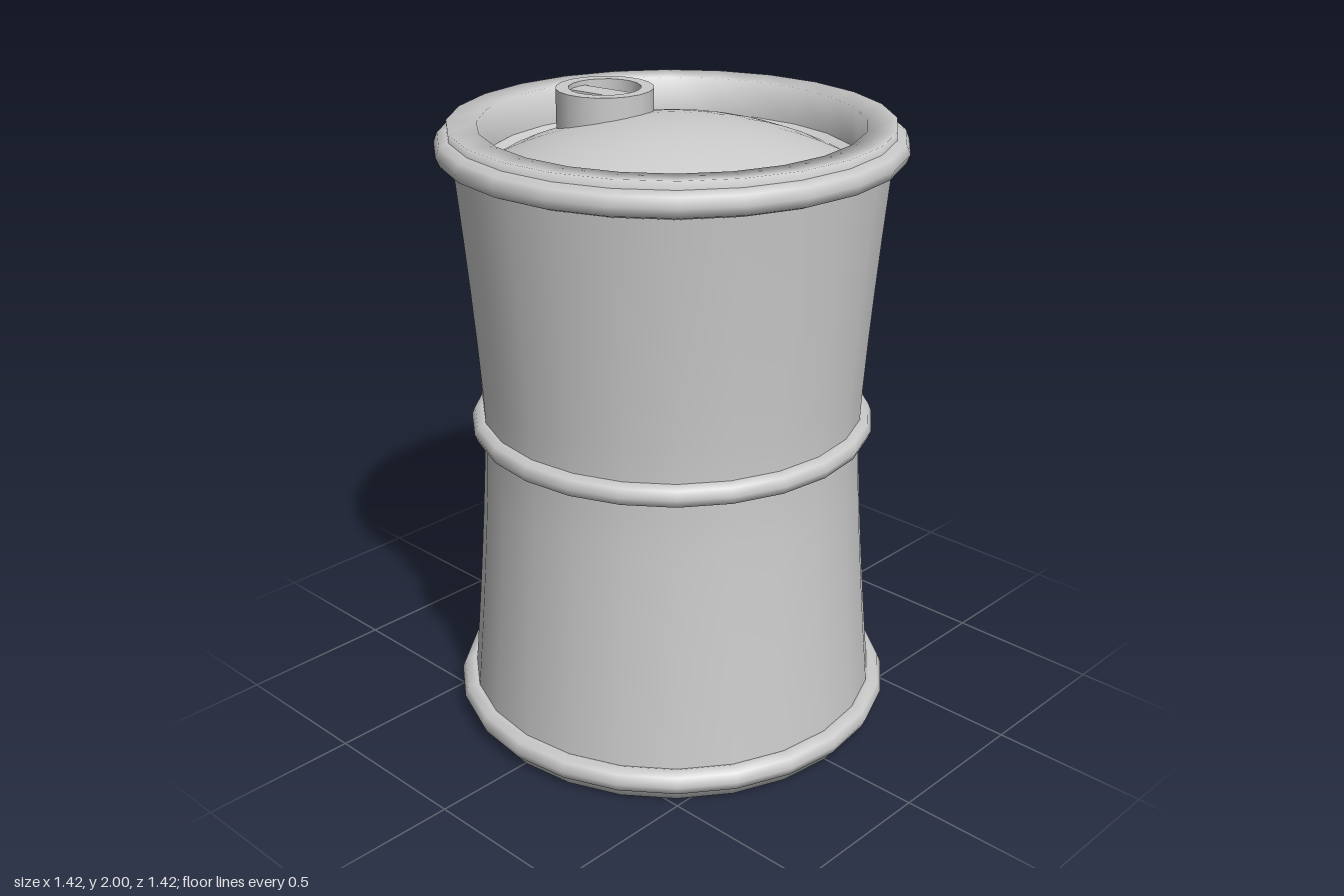
import * as THREE from 'three';

const SIDES = 24;
const material = new THREE.MeshStandardMaterial({ color: 0xcccccc });

function add(group, name, geometry, x = 0, y = 0, z = 0) {
  const mesh = new THREE.Mesh(geometry, material);
  mesh.name = name;
  mesh.position.set(x, y, z);
  group.add(mesh);
  return mesh;
}

// Profiles run up the outside and back down the inside
function lathe(points, sides = SIDES) {
  return new THREE.LatheGeometry(points.map(([r, y]) => new THREE.Vector2(r, y)), sides);
}

function hoop(radius, tube) {
  return new THREE.TorusGeometry(radius, tube, 8, SIDES).rotateX(Math.PI / 2);
}

export function createModel() {
  const barrel = new THREE.Group();
  barrel.name = 'barrel';

  // Waisted wall, narrowest at mid height
  const wall = [];
  for (let i = 0; i <= 12; i++) {
    const t = i / 6 - 1;
    wall.push([0.597 + 0.073 * Math.abs(t) ** 1.3, 0.975 + 0.975 * t]);
  }
  add(barrel, 'wall', lathe(wall));

  // Rolled lips at both ends
  add(barrel, 'topLip', lathe([[0.67, 1.9], [0.67, 1.95], [0.58, 1.945], [0.57, 1.83]]));
  add(barrel, 'bottomLip', lathe([[0.575, 0.06], [0.58, 0], [0.67, 0], [0.67, 0.05]]));

  // Recessed flat base
  add(barrel, 'base', lathe([[0, 0.045], [0.58, 0.045]]));

  // Domed lid with a flat seat around it
  const domeRadius = 1.2, apex = 1.945, lidRadius = 0.54;
  const edgeAngle = Math.asin(lidRadius / domeRadius);
  const dome = [];
  for (let i = 0; i <= 8; i++) {
    const a = edgeAngle * (1 - i / 8);
    dome.push([domeRadius * Math.sin(a), apex - domeRadius * (1 - Math.cos(a))]);
  }
  add(barrel, 'lid', lathe(dome));
  add(barrel, 'lidSeat', lathe([[0.58, dome[0][1] + 0.015], dome[0]]));

  // Hoops
  add(barrel, 'topHoop', hoop(0.67, 0.04), 0, 1.885);
  add(barrel, 'middleHoop', hoop(0.6, 0.036), 0, 1.0);
  add(barrel, 'bottomHoop', hoop(0.67, 0.04), 0, 0.065);

  // Filler cap: a collar with a slanted grip bar across it
  const cap = new THREE.Group();
  cap.name = 'fillerCap';
  cap.position.set(-0.285, 0, 0);
  add(cap, 'collarOutside', lathe([[0.152, 1.86], [0.152, 2]], 20));
  add(cap, 'collarTop', lathe([[0.152, 2], [0.112, 2]], 20));
  add(cap, 'collarInside', lathe([[0.112, 2], [0.112, 1.86]], 20));
  add(cap, 'gripBar', new THREE.BoxGeometry(0.23, 0.1, 0.075), 0, 1.935, 0).rotation.y = 0.16;
  barrel.add(cap);

  return barrel;
}
